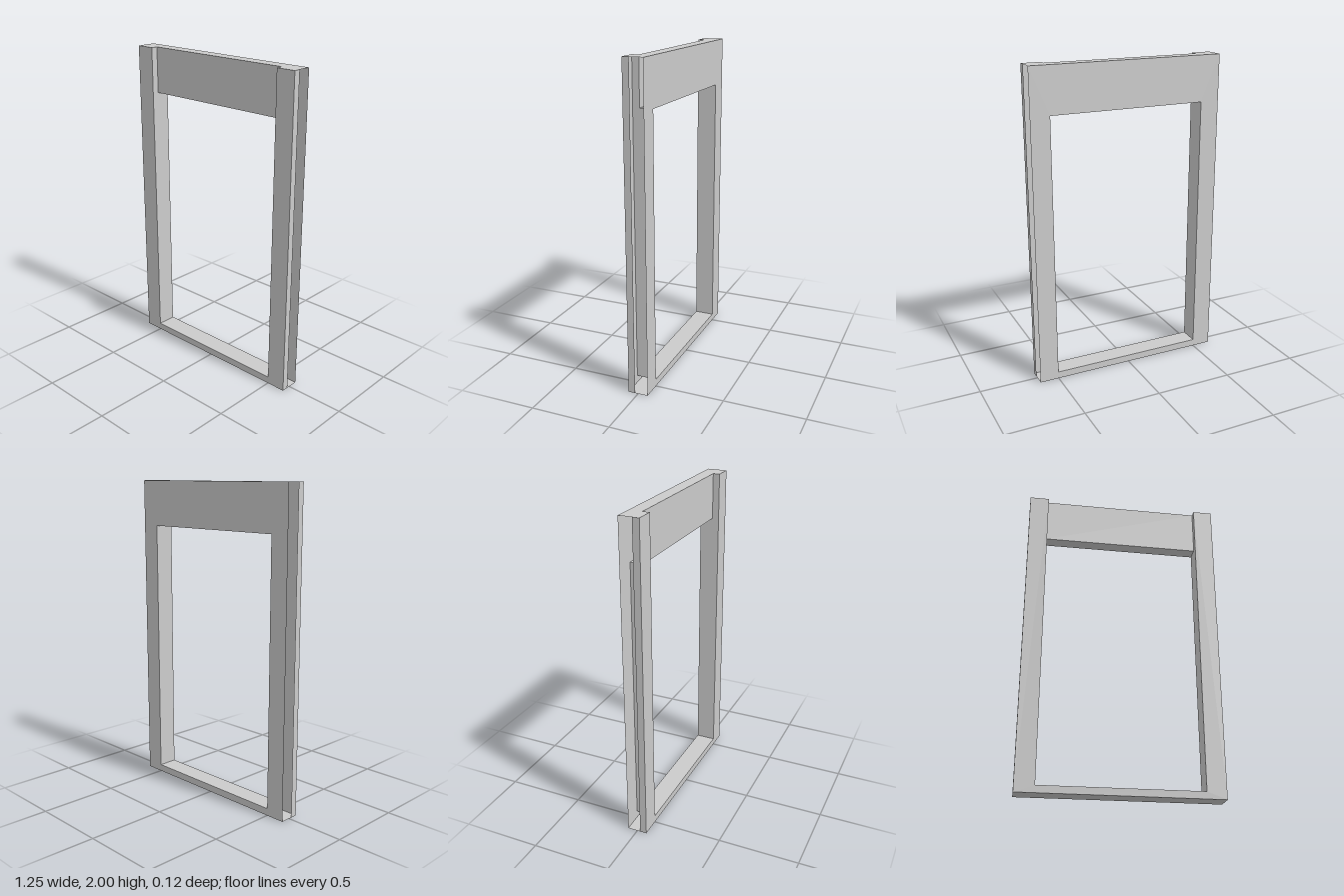
import * as THREE from 'three';

const W = 0.6225, H = 2;            // outer half width, height
const w = 0.5, SILL = 0.045, HEAD = 1.71; // opening half width, bottom, top
const F = 0.0625, B = -0.0625;      // front and back planes
const R = 0.02;                     // recessed plane of the header

const outline = (pts) => new THREE.Shape(pts.map(([x, y]) => new THREE.Vector2(x, y)));
const rect = (x0, y0, x1, y1) => [[x0, y0], [x1, y0], [x1, y1], [x0, y1]];

export function createModel() {
  const model = new THREE.Group();
  model.name = 'doorFrame';
  const material = new THREE.MeshStandardMaterial({ color: 0xcccccc, side: THREE.DoubleSide, flatShading: true });

  function add(name, geometry) {
    const mesh = new THREE.Mesh(geometry, material);
    mesh.name = name;
    model.add(mesh);
  }
  // Sheet facing forward (dir 1) or backward (dir -1)
  const upright = (name, shape, z, dir = 1) =>
    add(name, new THREE.ShapeGeometry(shape).rotateY(dir > 0 ? 0 : Math.PI).translate(0, 0, z));
  // Horizontal sheet drawn in x and -z, facing up or down
  const level = (name, pts, y, dir = 1) => {
    const shape = outline(pts.map(([x, z]) => [x, -dir * z]));
    add(name, new THREE.ShapeGeometry(shape).rotateX(-dir * Math.PI / 2).translate(0, y, 0));
  };
  // Sheet across x, facing +x (dir 1) or -x (dir -1)
  const side = (name, x, y0, y1, z0, z1, dir) =>
    add(name, new THREE.PlaneGeometry(z1 - z0, y1 - y0).rotateY(dir * Math.PI / 2)
      .translate(x, (y0 + y1) / 2, (z0 + z1) / 2));

  // Front face: jambs and sill in one U, with the header set back
  upright('frontFace', outline([[-W, 0], [W, 0], [W, H], [w, H], [w, SILL], [-w, SILL], [-w, H], [-W, H]]), F);
  upright('headerFace', outline(rect(-w, HEAD, w, H)), R);

  // Back face with the opening cut out
  const back = outline(rect(-W, 0, W, H));
  back.holes.push(outline(rect(-w, SILL, w, HEAD)));
  upright('backFace', back, B, -1);

  // Top notched over the header, bottom, and opening edges
  level('top', [[-W, B], [W, B], [W, F], [w, F], [w, R], [-w, R], [-w, F], [-W, F]], H);
  level('bottom', rect(-W, B, W, F), 0, -1);
  level('sillTop', rect(-w, B, w, F), SILL);
  level('headerUnderside', rect(-w, B, w, R), HEAD, -1);

  // Jamb sides; the outer sides are open behind the front lip
  for (const s of [-1, 1]) {
    const n = s > 0 ? 'left' : 'right';
    side(n + 'OuterLip', s * W, 0, H, R, F, s);
    side(n + 'JambInner', s * w, SILL, HEAD, B, F, -s);
    side(n + 'HeaderReturn', s * w, HEAD, H, R, F, -s);
  }
  return model;
}
